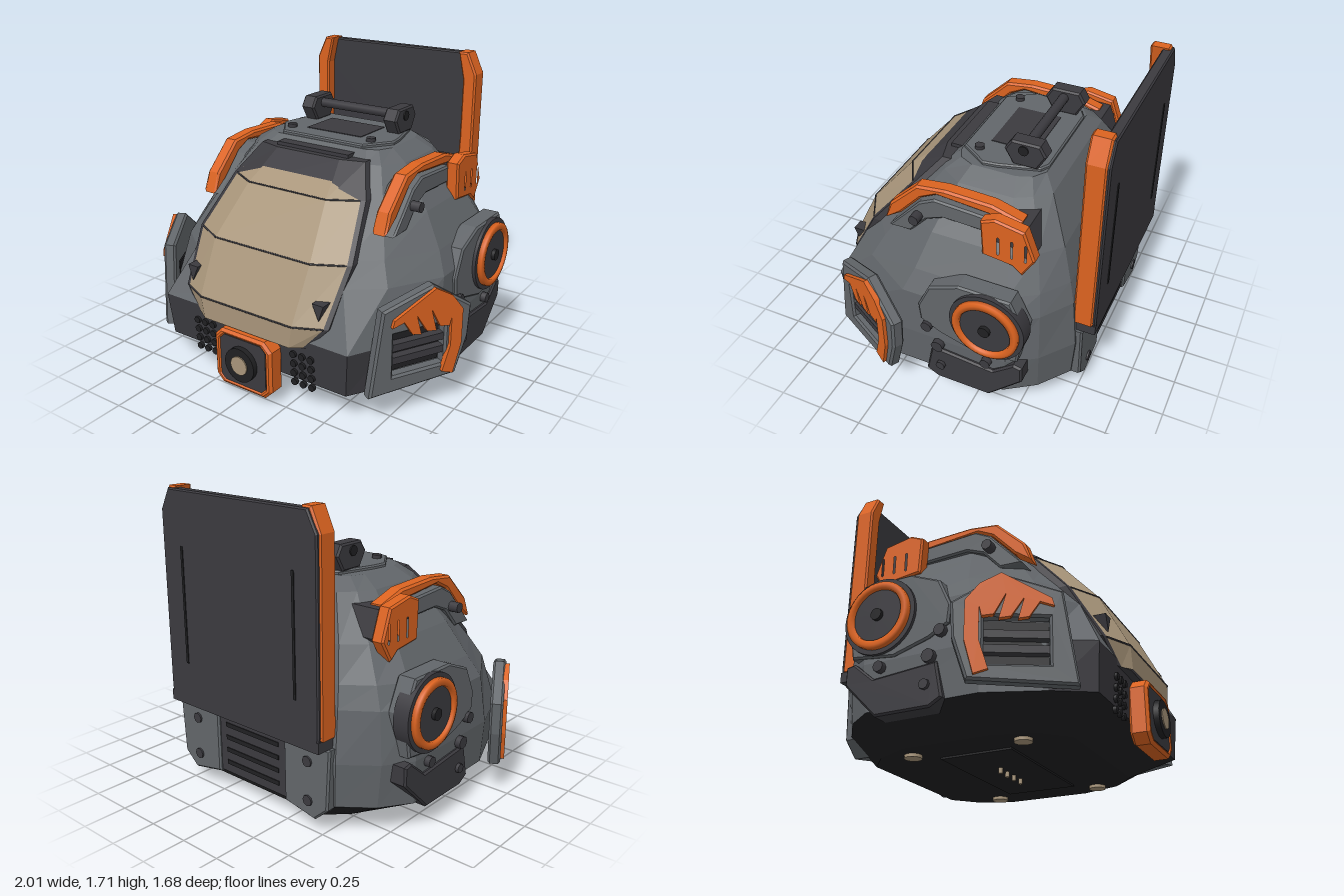
import * as THREE from 'three';

const mat = (name, color) => Object.assign(new THREE.MeshStandardMaterial({ color }), { name });
const M = {
  grey: mat('hull grey', 0x62666a),
  dark: mat('dark trim', 0x3b3a3f),
  black: mat('black base', 0x202022),
  orange: mat('orange accents', 0xdb6320),
  tan: mat('tan visor', 0xa8957a),
};

// Faceted skin over cross-sections; pick chooses which quads to keep
function loft(rings, closed, pick = () => true, caps = []) {
  const out = [], n = rings[0].length;
  rings.slice(0, -1).forEach((a, l) => {
    const b = rings[l + 1];
    for (let i = 0; i < (closed ? n : n - 1); i++) {
      if (!pick(l, i)) continue;
      const j = (i + 1) % n;
      out.push(...a[i], ...a[j], ...b[j], ...a[i], ...b[j], ...b[i]);
    }
  });
  for (const c of caps) {
    const r = c === 'bottom' ? [...rings[0]].reverse() : rings.at(-1);
    for (let i = 1; i < n - 1; i++) out.push(...r[0], ...r[i], ...r[i + 1]);
  }
  const g = new THREE.BufferGeometry();
  g.setAttribute('position', new THREE.Float32BufferAttribute(out, 3));
  g.computeVertexNormals();
  return g;
}

// Extruded outline from z0 to z1, with optional holes and bevel
function slab(pts, z0, z1, bevel = 0, holes = []) {
  const toV = p => p.map(([x, y]) => new THREE.Vector2(x, y));
  const s = new THREE.Shape(toV(pts));
  holes.forEach(h => s.holes.push(new THREE.Path(toV(h))));
  return new THREE.ExtrudeGeometry(s, {
    depth: z1 - z0 - 2 * bevel, bevelEnabled: bevel > 0, bevelSize: bevel, bevelOffset: -bevel,
    bevelThickness: bevel, bevelSegments: 1,
  }).translate(0, 0, z0 + bevel);
}
// Outline given as (z, y), extruded along x
const flipZ = pts => pts.map(([z, y]) => [-z, y]);
const sideSlab = (pts, x0, x1, bevel, holes = []) =>
  slab(flipZ(pts), x0, x1, bevel, holes.map(flipZ)).rotateY(Math.PI / 2);
const rect = (x0, x1, y0, y1) => [[x0, y0], [x1, y0], [x1, y1], [x0, y1]];
const chamfered = (x0, x1, y0, y1, c) => [[x0 + c, y0], [x1 - c, y0], [x1, y0 + c], [x1, y1 - c],
  [x1 - c, y1], [x0 + c, y1], [x0, y1 - c], [x0, y0 + c]];
const box = (x0, x1, y0, y1, z0, z1) => new THREE.BoxGeometry(x1 - x0, y1 - y0, z1 - z0)
  .translate((x0 + x1) / 2, (y0 + y1) / 2, (z0 + z1) / 2);
// Cylinder along a chosen axis
function cyl(axis, r, len, x, y, z, sides = 16) {
  const g = new THREE.CylinderGeometry(r, r, len, sides);
  if (axis === 'x') g.rotateZ(-Math.PI / 2);
  if (axis === 'z') g.rotateX(Math.PI / 2);
  return g.translate(x, y, z);
}
function rod(a, b, r) {
  const p = new THREE.Vector3(...a), q = new THREE.Vector3(...b), d = q.clone().sub(p);
  const g = new THREE.CylinderGeometry(r, r, d.length(), 5);
  g.applyQuaternion(new THREE.Quaternion().setFromUnitVectors(new THREE.Vector3(0, 1, 0), d.normalize()));
  return g.translate(...p.add(q).multiplyScalar(0.5).toArray());
}
// Mirror in x, keeping faces outward
function mirrored(geo) {
  const g = (geo.index ? geo.toNonIndexed() : geo.clone()).scale(-1, 1, 1);
  for (const a of Object.values(g.attributes))
    for (let i = 0; i < a.count; i += 3)
      for (let k = 0; k < a.itemSize; k++) {
        const t = a.getComponent(i + 1, k);
        a.setComponent(i + 1, k, a.getComponent(i + 2, k));
        a.setComponent(i + 2, k, t);
      }
  return g;
}

export function createModel() {
  const root = new THREE.Group();
  root.name = 'helmetPod';
  const add = (name, geo, m) => {
    const mesh = new THREE.Mesh(geo, m);
    mesh.name = name;
    root.add(mesh);
  };
  const both = (name, geo, m) => {
    add(name + 'Left', geo, m);
    add(name + 'Right', mirrored(geo), m);
  };

  // Hull: half rings of (x, z) from front corner to back corner
  const hull = [
    [0.04, [.40, .49], [.54, .36], [.61, .14], [.61, -.36], [.52, -.55], [.40, -.66]],
    [0.17, [.60, .70], [.72, .50], [.84, .20], [.84, -.43], [.73, -.59], [.56, -.72]],
    [0.42, [.62, .72], [.74, .50], [.86, .20], [.86, -.45], [.76, -.60], [.58, -.74]],
    [0.70, [.50, .58], [.68, .44], [.85, .15], [.85, -.45], [.74, -.59], [.57, -.71]],
    [0.82, [.47, .50], [.62, .38], [.79, .10], [.79, -.43], [.70, -.57], [.55, -.68]],
    [1.00, [.42, .34], [.54, .26], [.68, .05], [.68, -.39], [.61, -.52], [.50, -.62]],
    [1.22, [.34, .13], [.42, .10], [.50, -.02], [.50, -.33], [.45, -.42], [.38, -.50]],
    [1.28, [.30, .06], [.36, .03], [.40, -.05], [.40, -.30], [.37, -.38], [.30, -.43]],
  ].map(([y, ...h]) => [...h.map(([x, z]) => [x, y, z]), ...h.map(([x, z]) => [-x, y, z]).reverse()]);
  const isTrim = (l, i) => l === 1 && (i === 0 || i >= 10);
  add('hullBase', loft(hull, true, l => l === 0, ['bottom']), M.black);
  add('frontTrim', loft(hull, true, isTrim), M.dark);
  add('hullShell', loft(hull, true, (l, i) => l > 0 && !isTrim(l, i), ['top']), M.grey);

  // Visor: rows of y, inner x and z, edge x and z
  const rows = [[.385, .29, .77, .35, .73], [.51, .31, .77, .46, .70], [.81, .32, .62, .49, .53],
    [1.08, .26, .39, .42, .30], [1.22, .21, .20, .325, .16]];
  const visor = rows.map(([y, a, za, b, zb]) => [[-b, y, zb], [-a, y, za], [a, y, za], [b, y, zb]]);
  add('visor', loft(visor, false), M.tan);
  const frame = rows.map(([y, a, za, b, zb], i) => {
    const e = b + .025, yy = y + (i === 4 ? .02 : 0), d = .012;
    return [[-e, yy, zb - .12], [-e, yy, zb - d], [-a, yy, za - d], [a, yy, za - d], [e, yy, zb - d], [e, yy, zb - .12]];
  });
  const back = r => r.map(([x, y, z]) => [x, y, z - .1]);
  add('visorFrame', loft([back(frame[0]), ...frame, back(frame[4])], false), M.dark);
  visor.slice(1, 4).forEach(r => {
    for (let i = 0; i < 3; i++) add('visorSeam', rod(r[i], r[i + 1], .005), M.dark);
  });
  both('visorClip', slab([[.39, .64], [.46, .64], [.43, .55]], .62, .70), M.dark);
  add('visorBrow', box(-.24, .24, 1.235, 1.26, .06, .15), M.dark);

  // Front camera and sensor dots
  add('cameraFrame', slab(chamfered(-.195, .195, .04, .38, .05), .70, .805, .015,
    [chamfered(-.15, .15, .075, .345, .03)]), M.orange);
  add('cameraPlate', slab(chamfered(-.155, .155, .07, .35, .03), .70, .80), M.dark);
  add('cameraBarrel', cyl('z', .1, .06, 0, .21, .80, 24), M.black);
  add('cameraLens', cyl('z', .055, .01, 0, .21, .831, 24), M.tan);
  for (let c = 0; c < 3; c++) for (let r = 0; r < 4; r++)
    both('sensorDot', cyl('z', .02, .02, .28 + c * .056, .15 + r * .057, .705 + r * .004, 10), M.black);

  // Cheek vents, angled outward; outlines in (z, y)
  const cheek = (pts, d0, d1, bevel, holes = []) => {
    const f = p => p.map(([z, y]) => [(.38 - z) / .876, y]);
    return slab(f(pts), d0, d1, bevel, holes.map(f)).rotateY(1.068).translate(.895, 0, .38);
  };
  const ventWindow = rect(.55, .28, .27, .51);
  both('cheekPanel', cheek([[.67, .17], [.61, .65], [.35, .74], [.14, .58], [.15, .40], [.21, .19]],
    -.09, -.02, .012, [ventWindow]), M.grey);
  both('cheekVentBack', cheek(ventWindow, -.09, -.082, 0), M.black);
  [.35, .425].forEach(y => both('cheekSlat', cheek(rect(.55, .28, y - .02, y + .02), -.08, -.035, 0), M.dark));
  both('cheekClaw', cheek([[.57, .56], [.56, .60], [.35, .73], [.26, .67], [.20, .58], [.20, .38], [.24, .21],
    [.30, .235], [.26, .38], [.26, .55], [.27, .50], [.32, .51], [.37, .62], [.34, .49], [.39, .50],
    [.445, .60], [.42, .49], [.465, .50], [.51, .58]], -.03, 0, 0), M.orange);

  // Side hubs
  both('hubPlate', sideSlab([[.05, .65], [-.02, .80], [-.19, .87], [-.48, .87], [-.56, .70], [-.52, .46],
    [-.27, .43], [-.07, .49], [.04, .55]], .76, .872, .01), M.grey);
  both('hubDisc', cyl('x', .21, .09, .845, .66, -.356, 40), M.dark);
  both('hubRing', new THREE.LatheGeometry([[.14, 0], [.185, 0], [.185, .035], [.17, .04], [.145, .04], [.14, 0]]
    .map(p => new THREE.Vector2(...p)), 40).rotateZ(-Math.PI / 2).translate(.878, .66, -.356), M.orange);
  both('hubFace', cyl('x', .142, .04, .883, .66, -.356, 40), M.dark);
  both('hubCap', cyl('x', .032, .02, .913, .66, -.356), M.black);

  // Lower side plates and bolts
  both('lowerSidePlate', sideSlab([[.02, .17], [-.02, .36], [-.38, .33], [-.50, .43], [-.55, .42], [-.55, .32],
    [-.36, .13], [-.05, .13]], .76, .872, .01), M.dark);
  [[-.06, .39, .036], [-.345, .385, .03], [-.075, .245, .027], [0, .515, .032]].forEach(([z, y, r]) =>
    both('sideBolt', cyl('x', r, .05, .865, y, z, 8), M.dark));

  // Shoulder rails, arches and finned badges
  both('shoulderRail', sideSlab([[.37, .945], [.33, 1.06], [.165, 1.22], [0, 1.24], [-.265, 1.23], [-.43, 1.18],
    [-.43, 1.14], [-.25, 1.17], [.05, 1.195], [.14, 1.15], [.27, 1.01]], .535, .62, .012), M.orange);
  both('shoulderArch', sideSlab([[.33, .93], [.14, 1.14], [.05, 1.185], [-.28, 1.165], [-.28, 1.07], [0, 1.08],
    [.10, 1.04], [.20, .93]], .48, .645, .01), M.grey);
  both('shoulderBolt', cyl('x', .03, .08, .66, 1.055, .147, 8), M.dark);
  const slots = [-.34, -.415, -.49].map(z => chamfered(z - .016, z + .016, 1.0, 1.13, .01));
  both('finBadge', sideSlab([[-.24, 1.19], [-.32, 1.225], [-.48, 1.195], [-.54, 1.03], [-.47, .915],
    [-.415, .96], [-.25, .98]], .635, .71, .01, slots), M.orange);
  both('badgeMount', sideSlab([[-.26, 1.18], [-.47, 1.17], [-.52, 1.03], [-.46, .96], [-.27, 1]], .45, .65), M.dark);

  // Top deck and carry handle
  const deck = [[-.27, -.055], [.27, -.055], [.38, .10], [.37, .18], [.31, .40], [.26, .43],
    [-.26, .43], [-.31, .40], [-.37, .18], [-.38, .10]];
  add('topDeck', slab(deck, 1.265, 1.3, .008).rotateX(-Math.PI / 2), M.grey);
  add('deckHatch', box(-.185, .185, 1.297, 1.304, -.32, -.065), M.dark);
  both('deckBolt', cyl('y', .027, .03, .27, 1.305, -.035, 8), M.dark);
  both('handleBracket', sideSlab([[-.20, 1.38], [-.24, 1.44], [-.40, 1.44], [-.435, 1.38], [-.385, 1.295],
    [-.25, 1.295]], .24, .33, .01), M.dark);
  add('handleBar', cyl('x', .028, .5, 0, 1.395, -.31, 12), M.dark);
  both('handlePin', cyl('x', .028, .01, .332, 1.395, -.31), M.black);

  // Tall back panel with side rails
  add('backPlate', slab([[-.54, .52], [.54, .52], [.555, .58], [.555, 1.585], [.495, 1.70], [-.495, 1.70],
    [-.555, 1.585], [-.555, .58]], -.835, -.775, .008), M.dark);
  both('backRail', slab([[.46, .56], [.563, .56], [.563, 1.585], [.505, 1.71], [.445, 1.71], [.48, 1.55],
    [.48, 1.2]], -.82, -.71, .01), M.orange);
  both('backGroove', box(.395, .41, .75, 1.4, -.84, -.832), M.black);
  add('backLedge', box(-.555, .555, .50, .56, -.835, -.70), M.dark);
  add('backLatch', box(-.13, .13, .47, .50, -.79, -.75), M.orange);

  // Lower back blocks and vent
  both('backBlock', slab([[.25, .12], [.46, .08], [.55, .16], [.57, .50], [.25, .50]], -.77, -.60, .01), M.grey);
  [.18, .40].forEach(y => both('backBolt', cyl('z', .03, .02, .42, y, -.77, 8), M.dark));
  add('backVent', box(-.25, .25, .13, .50, -.755, -.60), M.dark);
  for (let i = 0; i < 4; i++) add('backVentSlot', box(-.2, .2, .18 + i * .075, .205 + i * .075, -.76, -.753), M.black);

  // Underside: contact plate, pins and feet
  add('contactPlate', box(-.4, .4, .03, .045, -.26, .15), M.black);
  [-.12, -.04, .04, .12].forEach(x => add('contactPin', cyl('y', .012, .04, x, .02, -.055, 10), M.tan));
  [.26, -.37].forEach(z => both('foot', cyl('y', .047, .03, .49, .038, z, 20), M.tan));

  return root;
}
